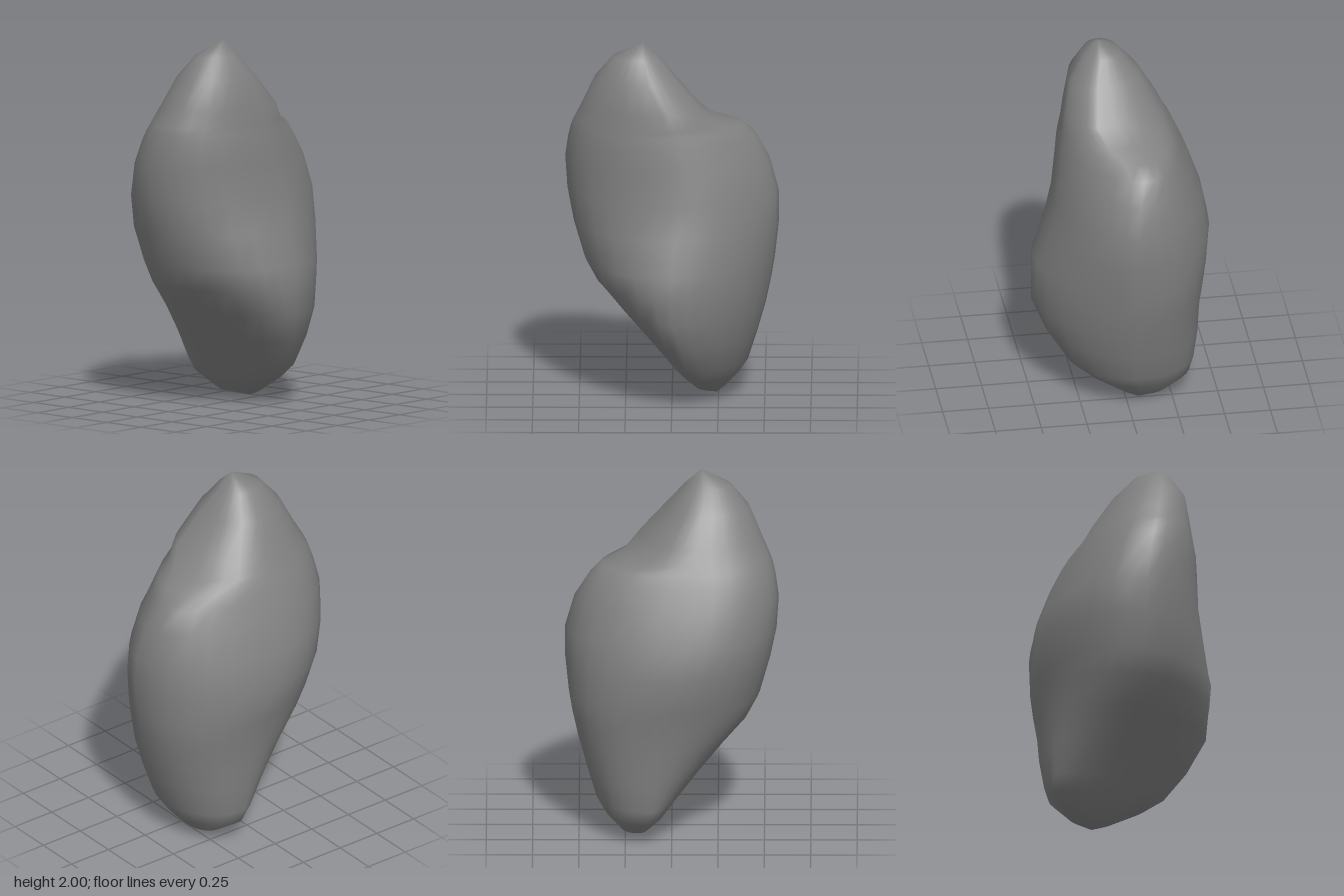
import * as THREE from 'three';

// Horizontal cross-sections of the boulder:
// height, [left x, right x, front z, back z], then where each extreme sits: [z, z, x, x]
const SECTIONS = [
  [0.03, [-0.23, 0.02, -0.12, -0.28], [-0.18, -0.20, -0.10, -0.08]],
  [0.12, [-0.36, 0.19, -0.04, -0.36], [-0.14, -0.15, -0.10, -0.06]],
  [0.20, [-0.385, 0.30, 0.02, -0.41], [-0.12, -0.11, -0.09, -0.03]],
  [0.36, [-0.405, 0.41, 0.15, -0.46], [-0.12, -0.05, -0.08, -0.02]],
  [0.52, [-0.415, 0.48, 0.285, -0.505], [-0.10, 0, -0.06, -0.02]],
  [0.66, [-0.435, 0.48, 0.41, -0.535], [-0.09, 0, -0.05, -0.03]],
  [0.78, [-0.455, 0.475, 0.475, -0.555], [-0.06, 0, -0.04, -0.03]],
  [0.97, [-0.485, 0.41, 0.53, -0.575], [0.04, -0.02, -0.03, -0.01]],
  [1.15, [-0.45, 0.37, 0.565, -0.575], [0.08, -0.04, -0.06, -0.02]],
  [1.33, [-0.385, 0.345, 0.577, -0.525], [0.11, 0, -0.06, -0.04]],
  [1.45, [-0.33, 0.33, 0.56, -0.455], [0.13, 0.03, -0.04, -0.07]],
  [1.515, [-0.30, 0.315, 0.545, -0.385], [0.13, 0.03, -0.02, -0.04]],
  [1.555, [-0.275, 0.31, 0.53, -0.26], [0.13, 0.03, -0.01, 0.05]],
  [1.64, [-0.235, 0.295, 0.49, -0.17], [0.13, 0.05, 0.02, 0.14]],
  [1.80, [-0.14, 0.255, 0.42, -0.03], [0.16, 0.13, 0.06, 0.12]],
  [1.92, [-0.035, 0.175, 0.32, 0.07], [0.18, 0.17, 0.07, 0.09]],
];
const BOTTOM = [-0.07, 0, -0.24];
const PEAK = [0.09, 2, 0.16];
const STEPS = 7; // segments per quarter of a ring

// One ring made of four quarter arcs joining the right, front, left and back extremes
function ring([y, [xl, xr, zf, zb], [zL, zR, xF, xB]]) {
  const R = [xr, zR], F = [xF, zf], L = [xl, zL], B = [xB, zb];
  // start, end, arc power (above 1 is flatter), whether the arc starts on a side extreme
  const quarters = [[R, F, 1, true], [F, L, 0.98, false], [L, B, 0.92, true], [B, R, 1.2, false]];
  const points = [];
  for (const [from, to, power, side] of quarters) {
    for (let k = 0; k < STEPS; k++) {
      const t = (k / STEPS) * Math.PI / 2;
      const u = Math.cos(t) ** power, v = Math.sin(t) ** power;
      points.push(side
        ? [to[0] + (from[0] - to[0]) * u, y, from[1] + (to[1] - from[1]) * v]
        : [from[0] + (to[0] - from[0]) * v, y, to[1] + (from[1] - to[1]) * u]);
    }
  }
  return points;
}

// Skin the rings and close both ends with a fan
function boulderGeometry() {
  const n = STEPS * 4, rows = SECTIONS.length;
  const positions = SECTIONS.flatMap(ring);
  const bottom = positions.push(BOTTOM) - 1;
  const peak = positions.push(PEAK) - 1;
  const index = [];
  for (let j = 0; j < n; j++) {
    const next = (j + 1) % n;
    for (let i = 0; i < rows - 1; i++) {
      const a = i * n + j, b = i * n + next;
      index.push(a, a + n, b, b, a + n, b + n);
    }
    index.push(bottom, j, next);
    index.push(peak, (rows - 1) * n + next, (rows - 1) * n + j);
  }
  const geometry = new THREE.BufferGeometry();
  geometry.setAttribute('position', new THREE.Float32BufferAttribute(positions.flat(), 3));
  geometry.setIndex(index);
  geometry.computeVertexNormals();
  return geometry;
}

export function createModel() {
  const model = new THREE.Group();
  model.name = 'rock';
  const stone = new THREE.MeshStandardMaterial({ color: 0x808080 });
  stone.name = 'stone grey';
  const boulder = new THREE.Mesh(boulderGeometry(), stone);
  boulder.name = 'boulder';
  model.add(boulder);
  return model;
}
